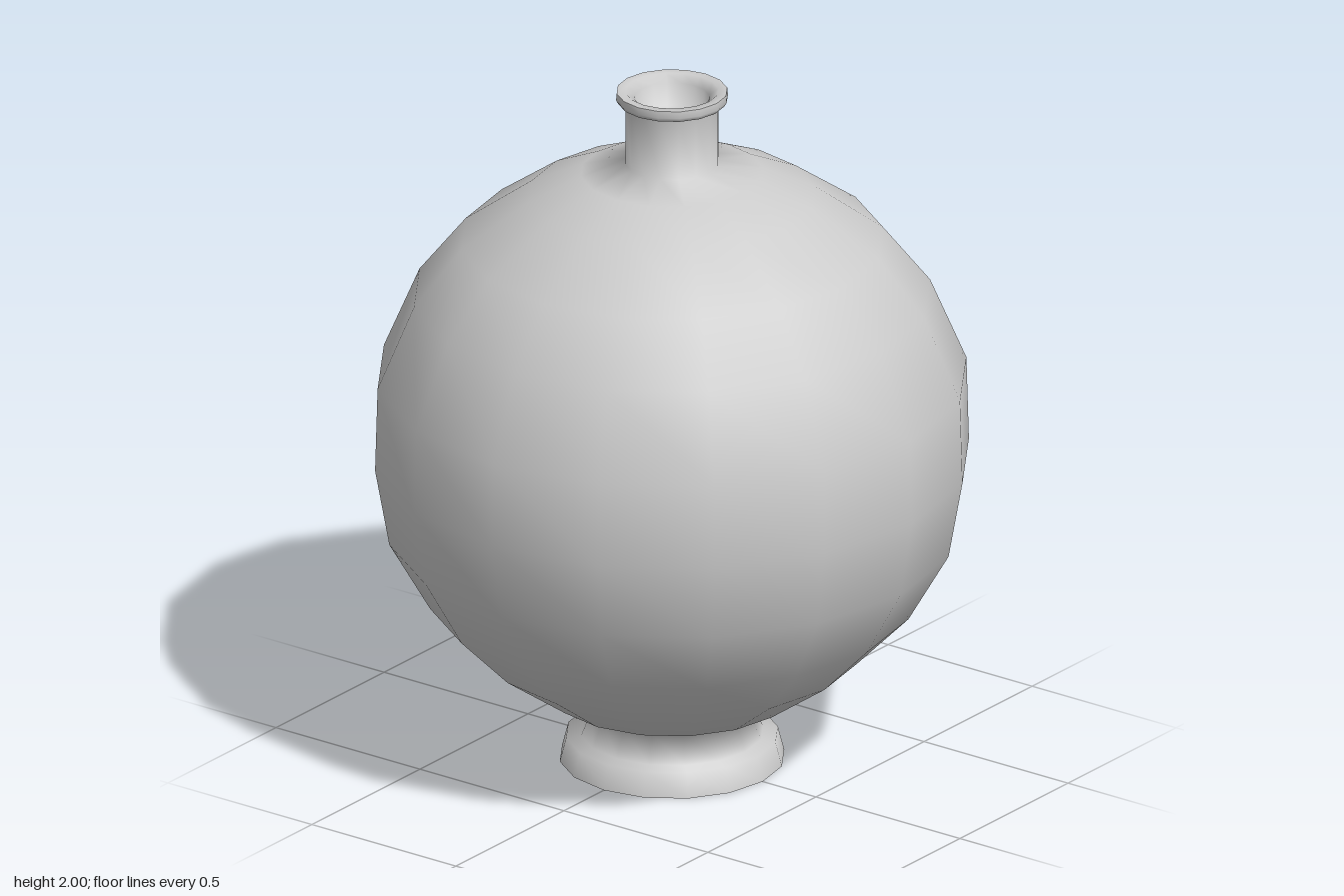
import * as THREE from 'three';

const SIDES = 16;

// Profile sections as [radius, height], from the ground upwards
const foot = [[0.315, 0], [0.297, 0.07], [0.255, 0.075], [0.222, 0.155]];
const belly = [
  [0.345, 0.2], [0.53, 0.33], [0.678, 0.48], [0.793, 0.68], [0.833, 0.905], [0.826, 1.15],
  [0.724, 1.39], [0.592, 1.555], [0.4, 1.69], [0.255, 1.755],
];
const neck = [[0.13, 1.785], [0.13, 1.965], [0.15, 1.968], [0.157, 1.98], [0.155, 2]];
const mouth = [[0.155, 2], [0.13, 2], [0.105, 1.98], [0.092, 1.92], [0, 1.88]];

export function createModel() {
  const group = new THREE.Group();
  const material = new THREE.MeshStandardMaterial({ color: 0xcccccc });

  const add = (name, geometry) => {
    const mesh = new THREE.Mesh(geometry, material);
    mesh.name = name;
    group.add(mesh);
    return mesh;
  };
  const lathe = (profile) =>
    new THREE.LatheGeometry(profile.map(([r, y]) => new THREE.Vector2(r, y)), SIDES);

  // Foot, round belly and neck share one smooth outer skin
  add('vesselBody', lathe([...foot, ...belly, ...neck]));

  // Rolled lip and the hollow inside the neck
  add('mouth', lathe(mouth));

  // Flat underside of the foot, its corners lined up with the body
  add('footUnderside', new THREE.CircleGeometry(0.315, SIDES).rotateX(Math.PI / 2));

  return group;
}
